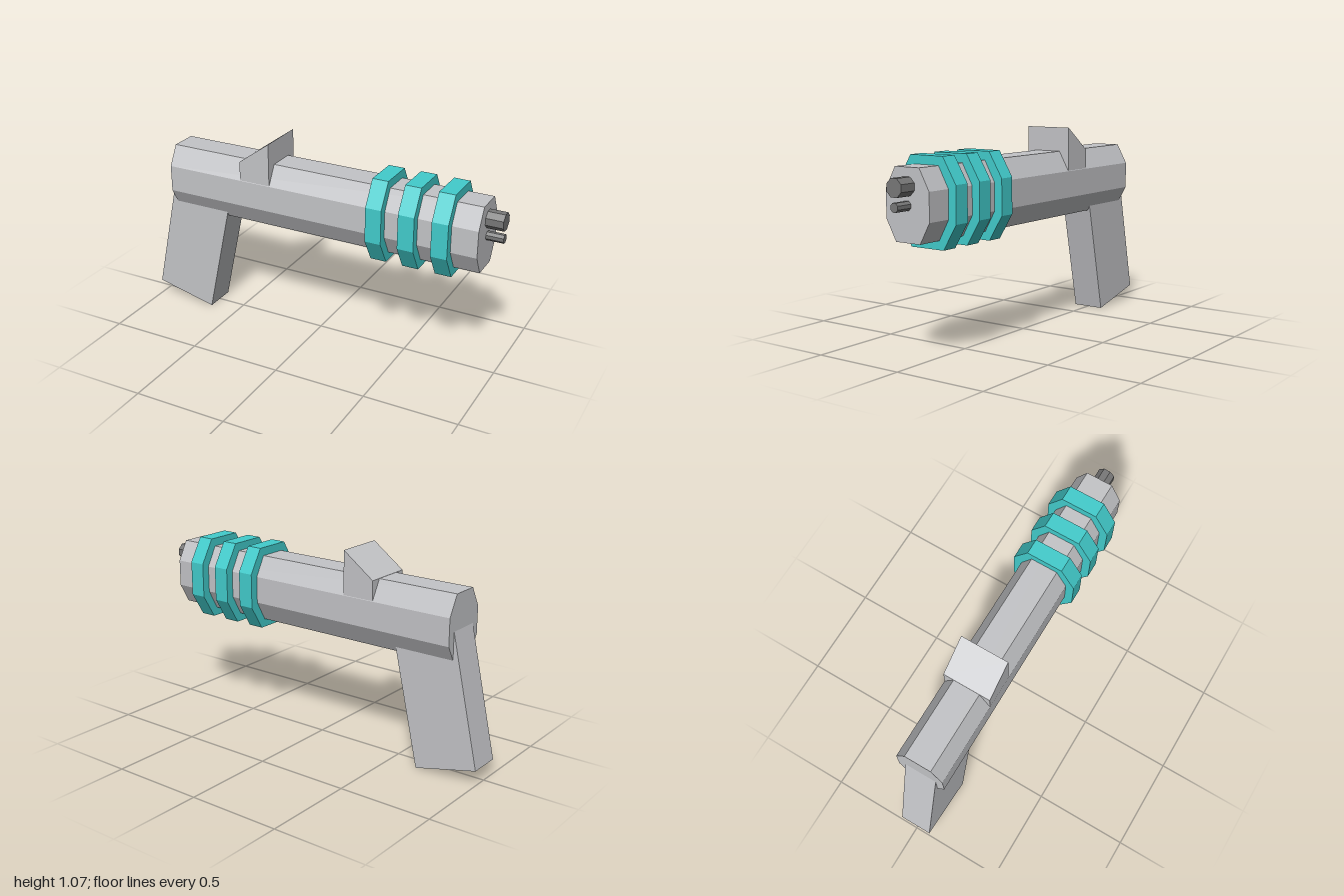
import * as THREE from 'three';

const grey = new THREE.MeshStandardMaterial({ color: 0xc3c4c7 });
grey.name = 'light grey';
const teal = new THREE.MeshStandardMaterial({ color: 0x42cccc });
teal.name = 'turquoise';
const dark = new THREE.MeshStandardMaterial({ color: 0x787878 });
dark.name = 'dark grey';

// Solid from a flat outline, extruded by depth and centred on its axis
function extrude(points, depth) {
  const shape = new THREE.Shape(points.map(([x, y]) => new THREE.Vector2(x, y)));
  const geometry = new THREE.ExtrudeGeometry(shape, { depth, bevelEnabled: false });
  return geometry.translate(0, 0, -depth / 2);
}

// Eight-sided bar along x: outer half sizes (w, h), half lengths of the flats (fw, fh)
function octagonBar(x0, x1, y, w, h, fw, fh) {
  const outline = [[fw, -h], [w, -fh], [w, fh], [fw, h], [-fw, h], [-w, fh], [-w, -fh], [-fw, -h]];
  return extrude(outline, x1 - x0).rotateY(Math.PI / 2).translate((x0 + x1) / 2, y, 0);
}

export function createModel() {
  const model = new THREE.Group();
  model.name = 'blaster';
  const add = (name, geometry, material) => {
    const mesh = new THREE.Mesh(geometry, material);
    mesh.name = name;
    model.add(mesh);
  };

  // Main body
  add('barrel', octagonBar(-0.85, 0.91, 0.766, 0.131, 0.176, 0.073, 0.071), grey);

  // Raked handle, its top sunk into the barrel
  add('grip', extrude([[-1, 0.08], [-0.66, 0], [-0.5, 0.72], [-0.841, 0.8]], 0.174), grey);

  // Wedge sight on top
  add('sight', extrude([[-0.41, 0.84], [-0.235, 0.84], [-0.235, 1.07], [-0.41, 0.943]], 0.262), grey);

  // Three bands near the muzzle
  [0.38, 0.555, 0.731].forEach((x, i) =>
    add('band' + (i + 1), octagonBar(x - 0.043, x + 0.043, 0.766, 0.175, 0.22, 0.098, 0.092), teal));

  // Two muzzle tips
  add('upperMuzzle', octagonBar(0.89, 1, 0.854, 0.044, 0.044, 0.018, 0.018), dark);
  add('lowerMuzzle', octagonBar(0.89, 1, 0.764, 0.022, 0.022, 0.009, 0.009), dark);

  return model;
}
